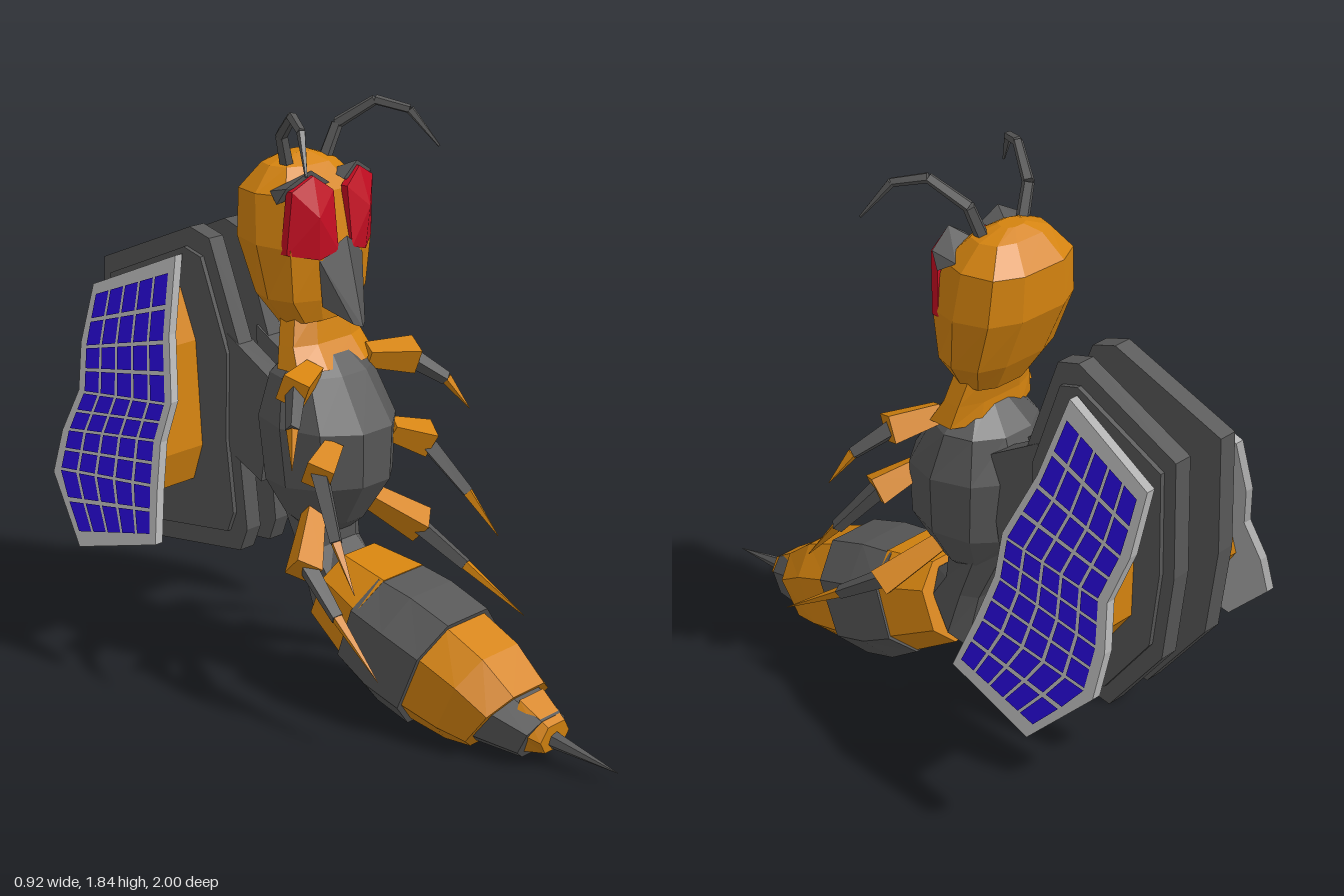
import * as THREE from 'three';
import { ConvexGeometry } from 'three/addons/geometries/ConvexGeometry.js';
import { mergeGeometries } from 'three/addons/utils/BufferGeometryUtils.js';

const mat = (color) => new THREE.MeshStandardMaterial({ color, flatShading: true });
const ORANGE = mat(0xd4830f), DARK = mat(0x575757), RED = mat(0xc50d22);
const BLUE = mat(0x2508cc), SILVER = mat(0xb0b0b0);
const V = (x, y, z) => new THREE.Vector3(x, y, z);

function fromTriangles(points) {
  const g = new THREE.BufferGeometry().setFromPoints(points);
  g.computeVertexNormals();
  return g;
}

// Capped skin over rings; each ring is [front z, front y, back z, back y, half width]
function loft(rings, sides = 8, power = 0.8) {
  const half = Math.PI / sides, fit = Math.cos(half) ** power;
  const bend = (v) => (Math.sign(v) * Math.abs(v) ** power) / fit;
  const pts = rings.map(([az, ay, bz, by, w]) => {
    const ring = [];
    for (let j = 0; j <= sides; j++) {
      const t = half * (2 * j + 1), c = bend(Math.cos(t)) / 2;
      ring.push(V(w * bend(Math.sin(t)), (ay + by) / 2 + (ay - by) * c, (az + bz) / 2 + (az - bz) * c));
    }
    return ring;
  });
  const mid = ([az, ay, bz, by]) => V(0, (ay + by) / 2, (az + bz) / 2);
  const last = pts.length - 1, tri = [];
  for (let j = 0; j < sides; j++) {
    for (let i = 0; i < last; i++) {
      const a = pts[i][j], b = pts[i][j + 1], c = pts[i + 1][j + 1], d = pts[i + 1][j];
      tri.push(a, b, c, a, c, d);
    }
    tri.push(mid(rings[0]), pts[0][j + 1], pts[0][j], mid(rings[last]), pts[last][j], pts[last][j + 1]);
  }
  return fromTriangles(tri);
}

// Slab with a [z, y] outline, spanning x from inner(y, z) to outer(y, z)
function slab(outline, inner, outer) {
  const shape = new THREE.Shape(outline.map(([z, y]) => new THREE.Vector2(-z, y)));
  const g = new THREE.ExtrudeGeometry(shape, { depth: 1, bevelEnabled: false });
  const p = g.attributes.position;
  for (let i = 0; i < p.count; i++) {
    const y = p.getY(i), z = -p.getX(i);
    p.setXYZ(i, (p.getZ(i) > 0.5 ? outer : inner)(y, z), y, z);
  }
  g.computeVertexNormals();
  return g;
}

// Tapered bar between two points
function bar(a, b, ra, rb, sides = 4) {
  const d = b.clone().sub(a);
  const g = new THREE.CylinderGeometry(rb, ra, d.length(), sides);
  g.rotateY(Math.PI / 4);
  g.applyQuaternion(new THREE.Quaternion().setFromUnitVectors(V(0, 1, 0), d.normalize()));
  return g.translate(...a.clone().add(b).multiplyScalar(0.5).toArray());
}

// Copy reflected across x = 0 with corner order restored
function reflected(geo) {
  const g = geo.index ? geo.toNonIndexed() : geo.clone();
  const p = g.attributes.position, pts = [];
  for (let i = 0; i < p.count; i += 3)
    for (const k of [0, 2, 1]) pts.push(V(-p.getX(i + k), p.getY(i + k), p.getZ(i + k)));
  return fromTriangles(pts);
}

export function createModel() {
  const model = new THREE.Group();
  const add = (name, geo, material) => {
    const m = new THREE.Mesh(geo, material);
    m.name = name;
    model.add(m);
  };
  const pair = (name, geo, material) => {
    add(name + 'Left', geo, material);
    add(name + 'Right', reflected(geo), material);
  };

  // Abdomen bands from tail to waist
  add('stinger', bar(V(0, 0.085, 0.74), V(0, 0.05, 1), 0.03, 0.001, 6), DARK);
  add('tailCap', loft([[0.775, 0.135, 0.765, 0.05, 0.06], [0.68, 0.2, 0.69, 0.04, 0.085]], 6), ORANGE);
  add('tailTip', loft([[0.755, 0.15, 0.685, 0.015, 0.09], [0.56, 0.25, 0.45, 0.03, 0.145]]), DARK);
  add('abdomenRear', loft([[0.67, 0.21, 0.51, 0.005, 0.145], [0.56, 0.3, 0.42, 0.005, 0.165],
    [0.42, 0.365, 0.28, 0.03, 0.17]]), ORANGE);
  add('abdomenMiddle', loft([[0.435, 0.375, 0.28, 0.015, 0.185], [0.29, 0.425, 0.16, 0.055, 0.19],
    [0.16, 0.45, 0.05, 0.13, 0.185]]), DARK);
  add('abdomenFront', loft([[0.18, 0.45, 0.06, 0.13, 0.18], [0, 0.48, -0.1, 0.23, 0.14]]), ORANGE);
  add('waist', loft([[0, 0.45, -0.13, 0.22, 0.1], [-0.06, 0.5, -0.18, 0.42, 0.1],
    [-0.06, 0.62, -0.28, 0.62, 0.11]]), DARK);

  // Thorax and neck
  add('thorax', loft([[-0.1, 0.5, -0.19, 0.5, 0.04], [-0.02, 0.57, -0.26, 0.58, 0.12],
    [0.07, 0.71, -0.32, 0.69, 0.185], [0.075, 0.88, -0.34, 0.9, 0.2],
    [-0.02, 1.04, -0.29, 1.03, 0.165], [-0.11, 1.13, -0.2, 1.13, 0.07]], 10, 1), DARK);
  add('neck', loft([[-0.05, 1.06, -0.22, 1.06, 0.17], [-0.1, 1.13, -0.22, 1.13, 0.15],
    [-0.12, 1.23, -0.24, 1.23, 0.12]]), ORANGE);

  // Head with eyes, lids and snout
  add('head', loft([[-0.1, 1.2, -0.25, 1.18, 0.12], [-0.085, 1.27, -0.31, 1.28, 0.18],
    [-0.065, 1.43, -0.38, 1.45, 0.2], [-0.1, 1.59, -0.38, 1.59, 0.185],
    [-0.17, 1.66, -0.32, 1.665, 0.12], [-0.22, 1.69, -0.28, 1.69, 0.04]], 10, 0.75), ORANGE);
  const eyeRim = [[0.03, 1.42, -0.08], [0.03, 1.6, -0.1], [0.1, 1.65, -0.115], [0.175, 1.61, -0.13],
    [0.185, 1.42, -0.145], [0.1, 1.4, -0.09]].map((p) => V(...p));
  const eyePoints = [...eyeRim, ...eyeRim.map((p) => p.clone().add(V(0, 0, 0.025))), V(0.11, 1.53, -0.055)];
  pair('eye', new ConvexGeometry(eyePoints), RED);
  pair('eyeLid', new ConvexGeometry([[0.03, 1.62, -0.09], [0.1, 1.665, -0.1], [0.185, 1.62, -0.12],
    [0.195, 1.57, -0.15], [0.17, 1.6, -0.2], [0.06, 1.63, -0.18]].map((p) => V(...p))), DARK);
  add('snout', new ConvexGeometry([[0, 1.46, -0.05], [0.095, 1.4, -0.075], [-0.095, 1.4, -0.075],
    [0.075, 1.25, -0.08], [-0.075, 1.25, -0.08], [0.025, 1.2, 0], [-0.025, 1.2, 0],
    [0, 1.19, 0.015], [0, 1.3, -0.15]].map((p) => V(...p))), DARK);

  // Antennae
  const feeler = [[0.07, 1.63, -0.22], [0.12, 1.76, -0.2], [0.18, 1.835, -0.1], [0.235, 1.81, -0.01],
    [0.29, 1.7, 0.06]].map((p) => V(...p));
  const feelerRadii = [0.022, 0.019, 0.016, 0.014, 0.004];
  pair('antenna', mergeGeometries(feeler.slice(1).map((p, i) =>
    bar(feeler[i], p, feelerRadii[i], feelerRadii[i + 1], 5))), DARK);

  // Legs: hip, knee, ankle, tip
  const legs = {
    frontLeg: [[0.12, 1.06, -0.08], [0.27, 1.04, -0.02], [0.345, 0.96, 0.05], [0.4, 0.86, 0.1]],
    middleLeg: [[0.13, 0.84, 0.01], [0.25, 0.79, 0.06], [0.3, 0.63, 0.18], [0.33, 0.5, 0.28]],
    rearLeg: [[0.12, 0.61, -0.08], [0.27, 0.49, 0.02], [0.295, 0.39, 0.18], [0.34, 0.26, 0.38]],
  };
  for (const [name, joints] of Object.entries(legs)) {
    const [hip, knee, ankle, tip] = joints.map((p) => V(...p));
    pair(name + 'Thigh', bar(hip, knee, 0.04, 0.06), ORANGE);
    pair(name + 'Shin', bar(knee.clone().lerp(hip, 0.15), ankle, 0.032, 0.022), DARK);
    pair(name + 'Claw', bar(ankle, tip, 0.018, 0.001), ORANGE);
  }

  // Wing bodies: thick upright plates with a raised inset, joined to the thorax
  const plate = [[-0.39, 0.47], [-0.42, 0.395], [-0.775, 0.36], [-0.97, 0.62], [-1, 0.9],
    [-0.985, 1.26], [-0.61, 1.415], [-0.53, 1.39], [-0.41, 1.06], [-0.42, 0.74]];
  const plateMid = (y, z) => 0.045 - z * 0.05;
  const inset = plate.map(([z, y]) => [-0.7 + (z + 0.7) * 0.86, 0.89 + (y - 0.89) * 0.88]);
  pair('wingPlate', slab(plate, (y, z) => plateMid(y, z) - 0.03, (y, z) => plateMid(y, z) + 0.03), DARK);
  pair('wingInset', slab(inset, plateMid, (y, z) => plateMid(y, z) + 0.045), DARK);
  pair('wingArm', slab([[-0.26, 0.98], [-0.32, 0.65], [-0.46, 0.72], [-0.46, 1.1]],
    () => 0.03, () => 0.1), DARK);

  // Solar panels leaning outwards on orange wedges
  const lean = (y) => 0.155 + (1.33 - y) * 0.335;
  pair('panelWedge', slab([[-0.56, 0.72], [-0.6, 0.6], [-0.76, 0.58], [-0.86, 0.72], [-0.86, 1.12],
    [-0.64, 1.22], [-0.58, 1.06]], () => 0.09, (y) => lean(y) - 0.025), ORANGE);
  const front = [[-0.625, 1.33], [-0.58, 1.1], [-0.51, 0.91], [-0.52, 0.79], [-0.49, 0.65], [-0.45, 0.5]];
  const back = [[-0.955, 1.19], [-0.955, 1.01], [-0.92, 0.87], [-0.955, 0.74], [-0.955, 0.61], [-0.77, 0.42]];
  pair('panelFrame', slab([...front, ...back.slice().reverse()], (y) => lean(y) - 0.03, lean), SILVER);

  // Blue cells in a grid that follows the panel's edges
  const along = (edge, t) => {
    const i = Math.min(4, Math.floor(t * 5)), f = t * 5 - i;
    return [0, 1].map((k) => edge[i][k] + (edge[i + 1][k] - edge[i][k]) * f);
  };
  const onPanel = (s, t) => {
    const a = along(front, t), b = along(back, t);
    const y = a[1] + (b[1] - a[1]) * s;
    return V(lean(y) + 0.004, y, a[0] + (b[0] - a[0]) * s);
  };
  const cols = 5, rows = 10, cells = [];
  for (let c = 0; c < cols; c++) for (let r = 0; r < rows; r++) {
    const s0 = 0.06 + (0.89 * c) / cols, s1 = s0 + 0.89 / cols - 0.025;
    const t0 = 0.04 + (0.93 * r) / rows, t1 = t0 + 0.93 / rows - 0.012;
    const a = onPanel(s0, t1), b = onPanel(s1, t1), d = onPanel(s1, t0), e = onPanel(s0, t0);
    cells.push(a, b, d, a, d, e);
  }
  pair('solarCells', fromTriangles(cells), BLUE);
  return model;
}
